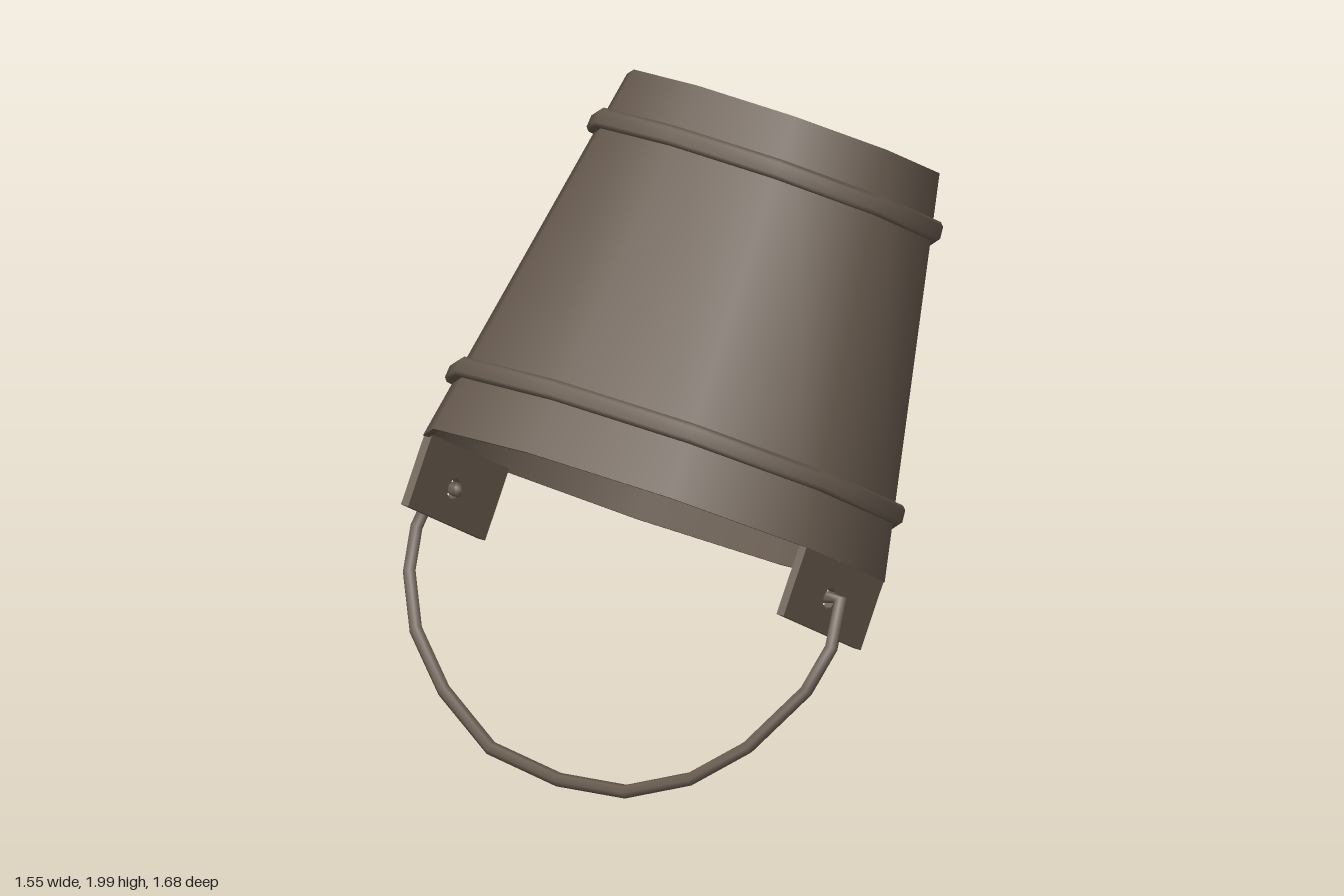
import * as THREE from 'three';

// Polyline sampled exactly at its points, so the bail keeps its bends
class Polyline extends THREE.Curve {
  constructor(points) {
    super();
    this.points = points;
  }
  getPoint(t, target = new THREE.Vector3()) {
    const n = this.points.length - 1;
    const i = Math.min(Math.floor(t * n + 1e-9), n - 1);
    return target.lerpVectors(this.points[i], this.points[i + 1], t * n - i);
  }
  getPointAt(t, target) { return this.getPoint(t, target); }
  getTangentAt(t, target = new THREE.Vector3()) {
    const d = 0.01;
    const a = this.getPoint(Math.max(t - d, 0));
    const b = this.getPoint(Math.min(t + d, 1));
    return target.subVectors(b, a).normalize();
  }
}

export function createModel() {
  const model = new THREE.Group();
  model.name = 'bucket';
  const darkMetal = new THREE.MeshStandardMaterial({ color: 0x685b4f });
  darkMetal.name = 'dark brown metal';

  const SIDES = 10, R0 = 0.734, R1 = 0.497, H = 1.19, WALL = 0.02;

  const add = (parent, name, geometry) => {
    const mesh = new THREE.Mesh(geometry, darkMetal);
    mesh.name = name;
    parent.add(mesh);
    return mesh;
  };
  const lathe = (parent, name, profile) => add(parent, name,
    new THREE.LatheGeometry(profile.map(([r, y]) => new THREE.Vector2(r, y)), SIDES));

  // Tilted pail: local y runs from the mouth to the closed end
  const pail = new THREE.Group();
  pail.name = 'pail';
  pail.position.set(0, 0.728, 0.22);
  pail.rotation.x = -0.564;
  model.add(pail);

  // Shell, each surface separate so that its edges stay sharp
  lathe(pail, 'outerWall', [[R0, 0], [R1, H]]);
  lathe(pail, 'closedEnd', [[R1, H], [0, H]]);
  lathe(pail, 'innerFloor', [[0, H - 0.03], [R1 - WALL, H - 0.03]]);
  lathe(pail, 'innerWall', [[R1 - WALL, H - 0.03], [R0 - WALL, 0]]);
  lathe(pail, 'rim', [[R0 - WALL, 0], [R0, 0]]);

  // Two raised hoops
  for (const [name, y, r] of [['mouthHoop', 0.2, 0.727], ['endHoop', 1.025, 0.562]]) {
    const h = 0.03;
    lathe(pail, name, [[r - 0.05, y - h], [r - 0.01, y - h], [r, y - h + 0.012],
      [r - 0.003, y + h - 0.012], [r - 0.014, y + h], [r - 0.05, y + h]]);
  }

  // Square ears below the rim, each with a hole for the bail
  const earShape = new THREE.Shape([
    new THREE.Vector2(-0.224, -0.212), new THREE.Vector2(0.224, -0.212),
    new THREE.Vector2(0.224, 0.01), new THREE.Vector2(-0.224, 0.01)]);
  const hole = new THREE.Path();
  hole.absarc(-0.022, -0.11, 0.032, 0, Math.PI * 2, true);
  earShape.holes.push(hole);
  const earGeometry = new THREE.ExtrudeGeometry(earShape,
    { depth: 0.026, bevelEnabled: false, curveSegments: 4 });
  earGeometry.rotateY(Math.PI / 2);
  add(pail, 'leftEar', earGeometry).position.x = 0.67;
  add(pail, 'rightEar', earGeometry).position.x = -0.696;

  // Hanging bail, in a plane that slopes forward and down
  const bailXY = [[-0.66, 0.645], [-0.735, 0.65], [-0.752, 0.53], [-0.727, 0.42],
    [-0.64, 0.285], [-0.48, 0.16], [-0.26, 0.055], [0, 0.027], [0.235, 0.045],
    [0.435, 0.12], [0.59, 0.235], [0.722, 0.41], [0.757, 0.53], [0.735, 0.65], [0.66, 0.645]];
  const points = bailXY.map(([x, y]) => new THREE.Vector3(x, y, 0.295 + 0.63 * (0.65 - y)));
  add(model, 'bail', new THREE.TubeGeometry(new Polyline(points), points.length - 1, 0.021, 6));
  for (const [name, p] of [['rightBailEnd', points[0]], ['leftBailEnd', points[points.length - 1]]]) {
    add(model, name, new THREE.SphereGeometry(0.021, 6, 4)).position.copy(p);
  }

  return model;
}
